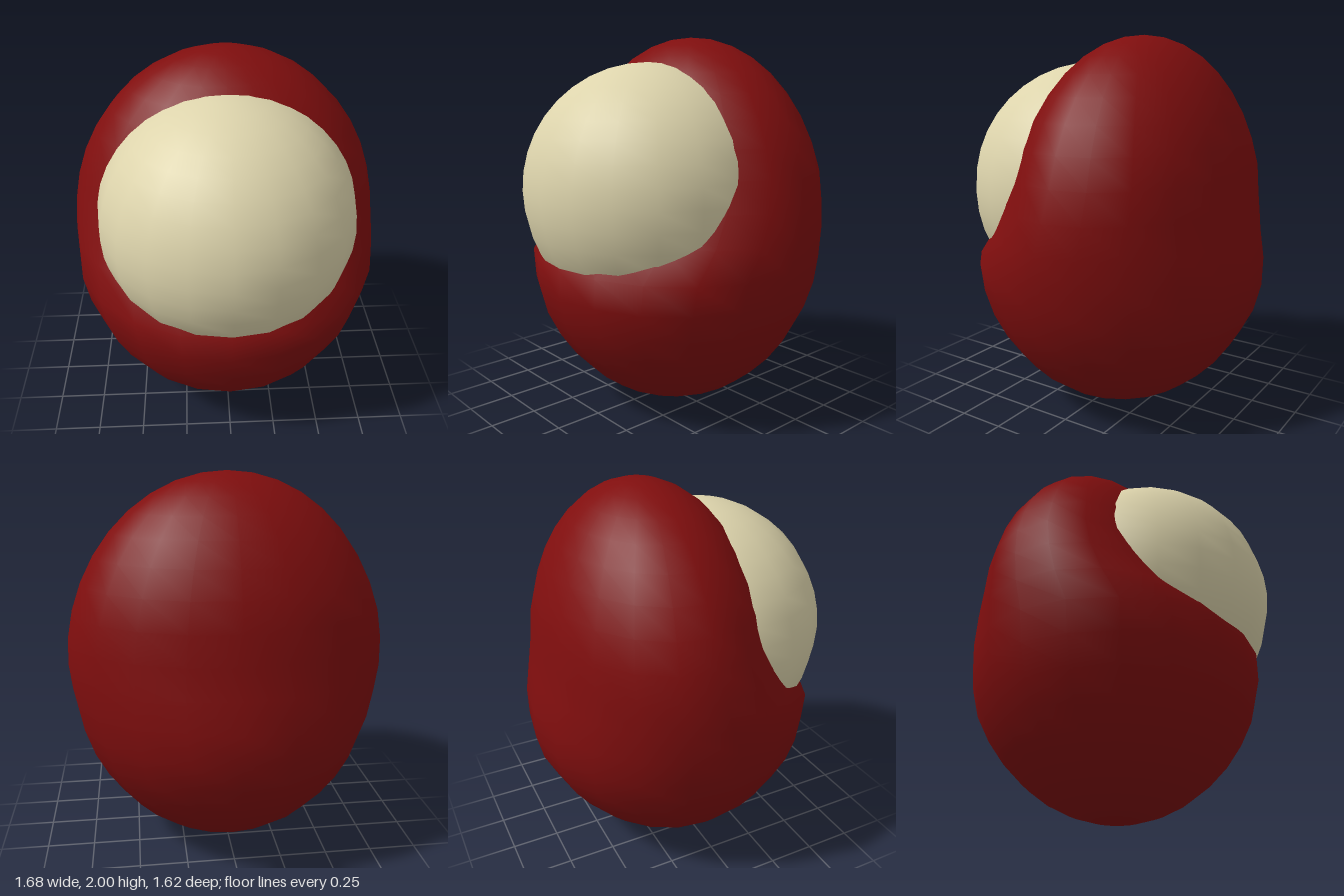
import * as THREE from 'three';
import { mergeVertices } from 'three/addons/utils/BufferGeometryUtils.js';

const SEGMENTS = 20;

// Front-to-back radius and centre of the body by height; the upper half is slimmer and set back
const DEPTH = [
  // y, radius, centre z
  [0.0, 0.82, -0.04],
  [0.55, 0.82, -0.045],
  [0.69, 0.805, -0.045],
  [0.844, 0.775, -0.045],
  [1.0, 0.68, -0.1],
  [1.156, 0.62, -0.14],
  [1.31, 0.605, -0.165],
  [2.0, 0.605, -0.17],
];

function depthAt(y) {
  let i = 0;
  while (i < DEPTH.length - 2 && y > DEPTH[i + 1][0]) i++;
  const [y0, r0, c0] = DEPTH[i];
  const [y1, r1, c1] = DEPTH[i + 1];
  const t = THREE.MathUtils.clamp((y - y0) / (y1 - y0), 0, 1);
  return [THREE.MathUtils.lerp(r0, r1, t), THREE.MathUtils.lerp(c0, c1, t)];
}

// Unit sphere with joined seams, so that normals stay smooth after shaping
function seamlessSphere() {
  const geometry = new THREE.SphereGeometry(1, SEGMENTS, SEGMENTS);
  geometry.deleteAttribute('uv');
  geometry.deleteAttribute('normal');
  return mergeVertices(geometry, 1e-4);
}

function addPart(group, name, geometry, color) {
  geometry.computeVertexNormals();
  const mesh = new THREE.Mesh(geometry, new THREE.MeshStandardMaterial({ color }));
  mesh.name = name;
  group.add(mesh);
}

export function createModel() {
  const group = new THREE.Group();
  group.name = 'eggBodyWithFace';

  // Egg-shaped body with a stepped-back upper half
  const body = seamlessSphere();
  const p = body.attributes.position;
  for (let i = 0; i < p.count; i++) {
    const y = 1 + p.getY(i);
    const [radius, centre] = depthAt(y);
    p.setXYZ(i, p.getX(i) * 0.84, y, p.getZ(i) * radius + centre);
  }
  addPart(group, 'body', body, 0x800e0e);

  // Round face bulging from the upper front
  const face = seamlessSphere();
  face.scale(0.68, 0.675, 0.672).translate(0, 1.19, 0.135);
  addPart(group, 'face', face, 0xddd4ac);

  return group;
}
